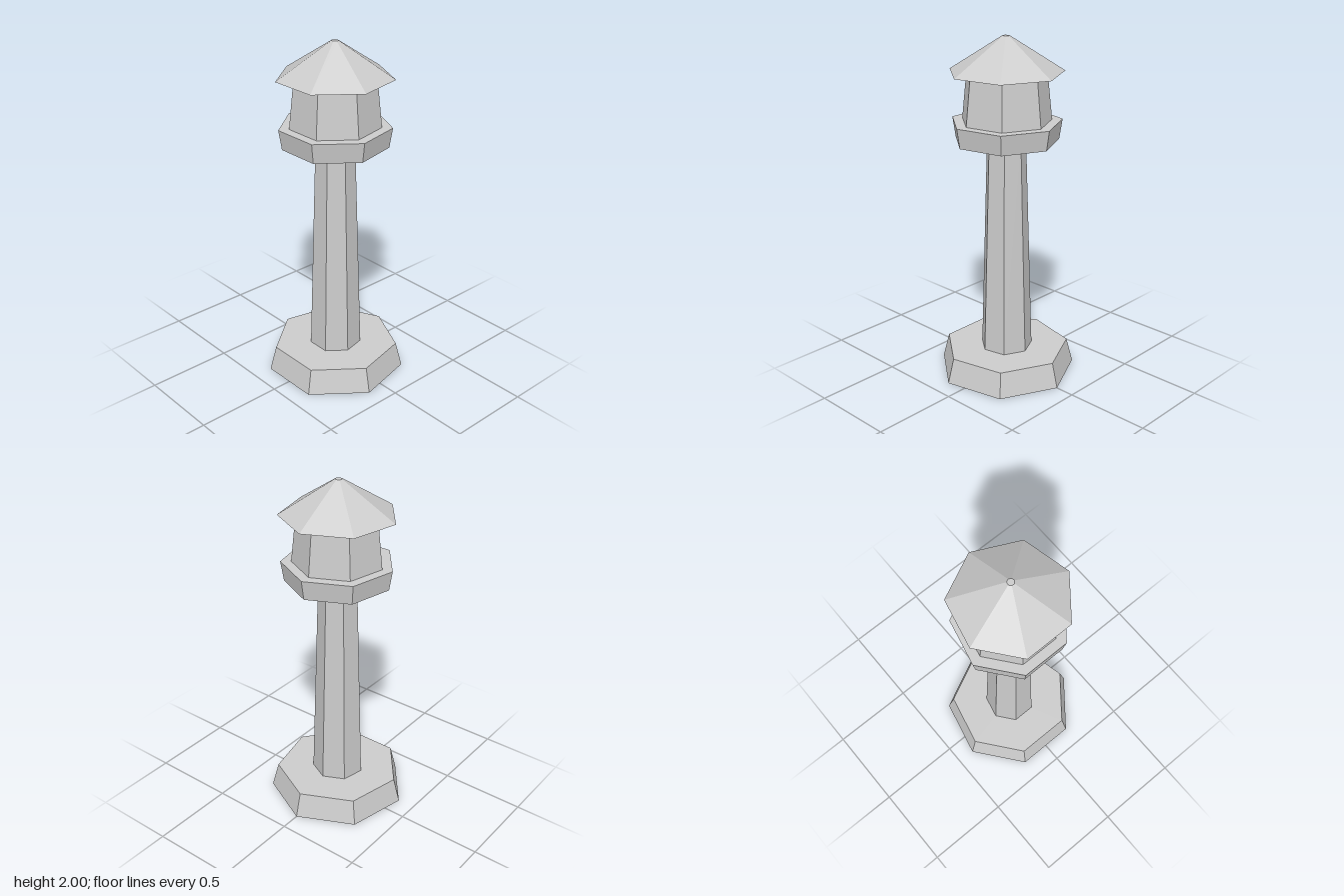
import * as THREE from 'three';
import { mergeGeometries } from 'three/addons/utils/BufferGeometryUtils.js';

const SIDES = 7;

// Seven-sided tapered section with a closed top and an open underside
function section(name, bottomRadius, topRadius, y0, y1, material) {
  const wall = new THREE.CylinderGeometry(topRadius, bottomRadius, y1 - y0, SIDES, 1, true, Math.PI / 2);
  wall.translate(0, (y0 + y1) / 2, 0);
  const cap = new THREE.CircleGeometry(topRadius, SIDES);
  cap.rotateX(-Math.PI / 2);
  cap.translate(0, y1, 0);
  const mesh = new THREE.Mesh(mergeGeometries([wall, cap]), material);
  mesh.name = name;
  return mesh;
}

export function createModel() {
  const stone = new THREE.MeshStandardMaterial({ color: 0xcccccc, flatShading: true, side: THREE.DoubleSide });
  stone.name = 'pale grey';

  const group = new THREE.Group();
  group.name = 'lighthouse';

  // name, bottom radius, top radius, bottom y, top y
  const parts = [
    ['base', 0.407, 0.369, 0, 0.147],
    ['towerShaft', 0.153, 0.113, 0.147, 1.412],
    ['gallery', 0.301, 0.319, 1.412, 1.527],
    ['lanternRoom', 0.259, 0.23, 1.527, 1.8],
    ['roof', 0.329, 0.02, 1.8, 2],
  ];
  for (const part of parts) group.add(section(...part, stone));

  // The odd side count puts the axis slightly off the centre of the bounds
  for (const mesh of group.children) mesh.position.x = -0.02;
  return group;
}
